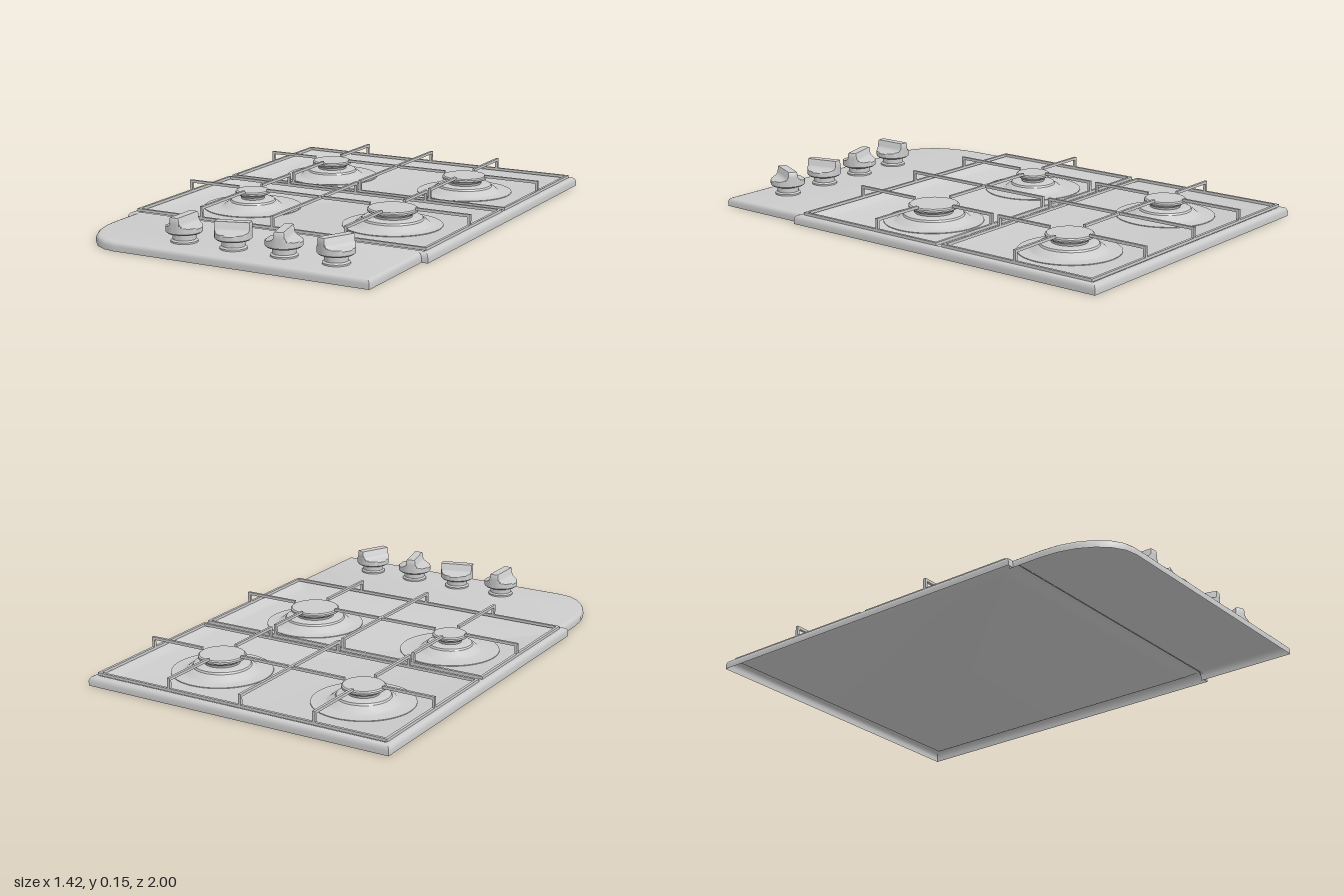
import * as THREE from 'three';
import { mergeGeometries, toCreasedNormals } from 'three/addons/utils/BufferGeometryUtils.js';

const material = new THREE.MeshStandardMaterial({ color: 0xcccccc, side: THREE.DoubleSide });

function addMesh(parent, name, geometry) {
  const mesh = new THREE.Mesh(geometry, material);
  mesh.name = name;
  parent.add(mesh);
  return mesh;
}

// Skin closed rings of [x, z] points stacked at given heights, then cover the last ring.
// skip(level, edge) leaves a wall open.
function loft(rings, skip = () => false) {
  const pos = [];
  for (let i = 0; i < rings.length - 1; i++) {
    const lo = rings[i], hi = rings[i + 1], n = lo.pts.length;
    for (let j = 0; j < n; j++) {
      if (skip(i, j)) continue;
      const k = (j + 1) % n;
      const a = [lo.pts[j][0], lo.y, lo.pts[j][1]], b = [lo.pts[k][0], lo.y, lo.pts[k][1]];
      const c = [hi.pts[k][0], hi.y, hi.pts[k][1]], d = [hi.pts[j][0], hi.y, hi.pts[j][1]];
      pos.push(...a, ...b, ...c, ...a, ...c, ...d);
    }
  }
  const walls = new THREE.BufferGeometry();
  walls.setAttribute('position', new THREE.Float32BufferAttribute(pos, 3));
  const top = rings[rings.length - 1];
  const shape = new THREE.Shape(top.pts.map(([x, z]) => new THREE.Vector2(x, -z)));
  const cap = new THREE.ShapeGeometry(shape).rotateX(-Math.PI / 2).translate(0, top.y, 0).toNonIndexed();
  cap.deleteAttribute('uv');
  cap.deleteAttribute('normal');
  return toCreasedNormals(mergeGeometries([walls, cap]), 0.7);
}

// Square wire through axis-aligned points, with filled corners.
const WIRE = 0.012;
function wire(points) {
  const bars = [];
  for (let i = 0; i < points.length - 1; i++) {
    const a = new THREE.Vector3(...points[i]), b = new THREE.Vector3(...points[i + 1]);
    const size = b.clone().sub(a), mid = a.add(b).multiplyScalar(0.5);
    bars.push(new THREE.BoxGeometry(Math.abs(size.x) + WIRE, Math.abs(size.y) + WIRE, Math.abs(size.z) + WIRE)
      .translate(mid.x, mid.y, mid.z));
  }
  return mergeGeometries(bars);
}

// Burner columns and rows; cap radii differ per burner.
const COLS = [-0.36, 0.325], ROWS = [-0.6, 0.115];
const CAPS = [[0.09, 0.1], [0.075, 0.108]];
const GRATE_SPANS = [[-0.963, -0.24], [-0.2, 0.523]];
const DISH = 0.213, FLOOR = 0.012;

function hobPlate(group) {
  const rect = (d) => {
    const x = 0.708 - d, back = -1 + d, front = 0.565 - d;
    return [[-x, front], [-0.68 + d, front], [0.68 - d, front], [x, front], [x, back], [-x, back]];
  };
  // Rounded rim, then a soft slope down to the sunken floor
  const profile = [[0, 0], [0, 0.02], [0.003, 0.03], [0.009, 0.037], [0.018, 0.04], [0.028, 0.04],
    [0.038, 0.036], [0.068, 0.017], [0.085, FLOOR]];
  // The front wall is open below, where the control panel joins
  const skip = (level, edge) => level < 2 && edge === 1;
  addMesh(group, 'hobPlate', loft(profile.map(([d, y]) => ({ pts: rect(d), y })), skip));
}

function controlPanel(group) {
  // One front corner is broadly rounded, the other is square.
  const outline = (d) => {
    const x = 0.68 - d, pts = [[-x, 0.55]];
    for (let i = 0; i <= 6; i++) {
      const a = (i / 6) * Math.PI / 2;
      pts.push([-0.47 - (0.21 - d) * Math.cos(a), 0.7 + (0.3 - d) * Math.sin(a)]);
    }
    pts.push([x, 1 - d], [x, 0.55]);
    return pts;
  };
  const profile = [[0, 0], [0, 0.02], [0.003, 0.029], [0.009, 0.035], [0.018, 0.037]];
  const rings = profile.map(([d, y]) => ({ pts: outline(d), y }));
  const backEdge = rings[0].pts.length - 1;
  addMesh(group, 'controlPanel', loft(rings, (level, edge) => edge === backEdge));
}

function burner(x, z, cap) {
  const g = new THREE.Group();
  g.name = 'burner';
  g.position.set(x, 0, z);
  const lathe = (name, pts) => addMesh(g, name, toCreasedNormals(
    new THREE.LatheGeometry(pts.map(([r, y]) => new THREE.Vector2(r, y)), 48), 0.6));
  const ring = cap + 0.055;
  lathe('dish', [[DISH, FLOOR], [DISH, FLOOR + 0.003], [ring + 0.01, FLOOR + 0.003], [ring, FLOOR + 0.006],
    [cap + 0.035, 0.034], [cap + 0.024, 0.038], [cap + 0.02, 0.046], [cap + 0.012, 0.05], [cap - 0.025, 0.05]]);
  lathe('burnerCup', [[cap - 0.025, 0.05], [cap - 0.022, 0.06], [cap - 0.008, 0.07], [cap, 0.073]]);
  lathe('burnerCap', [[cap - 0.008, 0.073], [cap, 0.074], [cap, 0.082], [cap - 0.006, 0.087], [0, 0.088]]);
  return g;
}

function grate(row) {
  const g = new THREE.Group();
  g.name = 'grate';
  const zc = ROWS[row], [back, front] = GRATE_SPANS[row], side = 0.677;
  const low = 0.046, high = 0.091, midX = -0.018;
  addMesh(g, 'grateFrame', wire([[-side, low, back], [side, low, back], [side, low, front], [-side, low, front], [-side, low, back]]));
  addMesh(g, 'grateCentreBar', wire([[midX, low, back], [midX, high, back], [midX, high, front], [midX, low, front]]));
  // Fingers reaching in to the edge of each burner cap
  COLS.forEach((x, i) => {
    const gap = CAPS[row][i] + 0.004;
    for (const [z, s] of [[back, -1], [front, 1]]) {
      addMesh(g, 'grateFinger', wire([[x, low, z], [x, high, z], [x, high, zc + s * gap]]));
    }
    const s = Math.sign(x);
    addMesh(g, 'grateFinger', wire([[s * side, low, zc], [s * side, high, zc], [x + s * gap, high, zc]]));
    addMesh(g, 'grateFinger', wire([[midX, high, zc], [x - s * gap, high, zc]]));
  });
  return g;
}

function knobGeometry() {
  // Each level is a disc trimmed to a half width, which leaves a flared grip on top.
  const levels = [[0.055, 1, 0.0375], [0.055, 1, 0.044], [0.047, 1, 0.05], [0.047, 1, 0.07], [0.068, 1, 0.076], [0.075, 1, 0.082],
    [0.075, 1, 0.1], [0.075, 0.068, 0.104], [0.075, 0.045, 0.107], [0.075, 0.03, 0.113], [0.075, 0.022, 0.123],
    [0.075, 0.02, 0.145], [0.073, 0.018, 0.148]];
  return loft(levels.map(([r, w, y]) => {
    const pts = [];
    for (let i = 0; i < 64; i++) {
      const a = (i / 64) * Math.PI * 2;
      pts.push([THREE.MathUtils.clamp(r * Math.sin(a), -w, w), r * Math.cos(a)]);
    }
    return { pts, y };
  }));
}

export function createModel() {
  const model = new THREE.Group();
  model.name = 'gasHob';
  hobPlate(model);
  controlPanel(model);
  ROWS.forEach((z, row) => {
    COLS.forEach((x, col) => model.add(burner(x, z, CAPS[row][col])));
    model.add(grate(row));
  });
  const knob = knobGeometry();
  [0, 1.87, 0.25, -0.45].forEach((turn, i) => {
    const mesh = addMesh(model, 'knob', knob);
    mesh.position.set(-0.23 + i * 0.23, 0, 0.85);
    mesh.rotation.y = turn;
  });
  return model;
}
